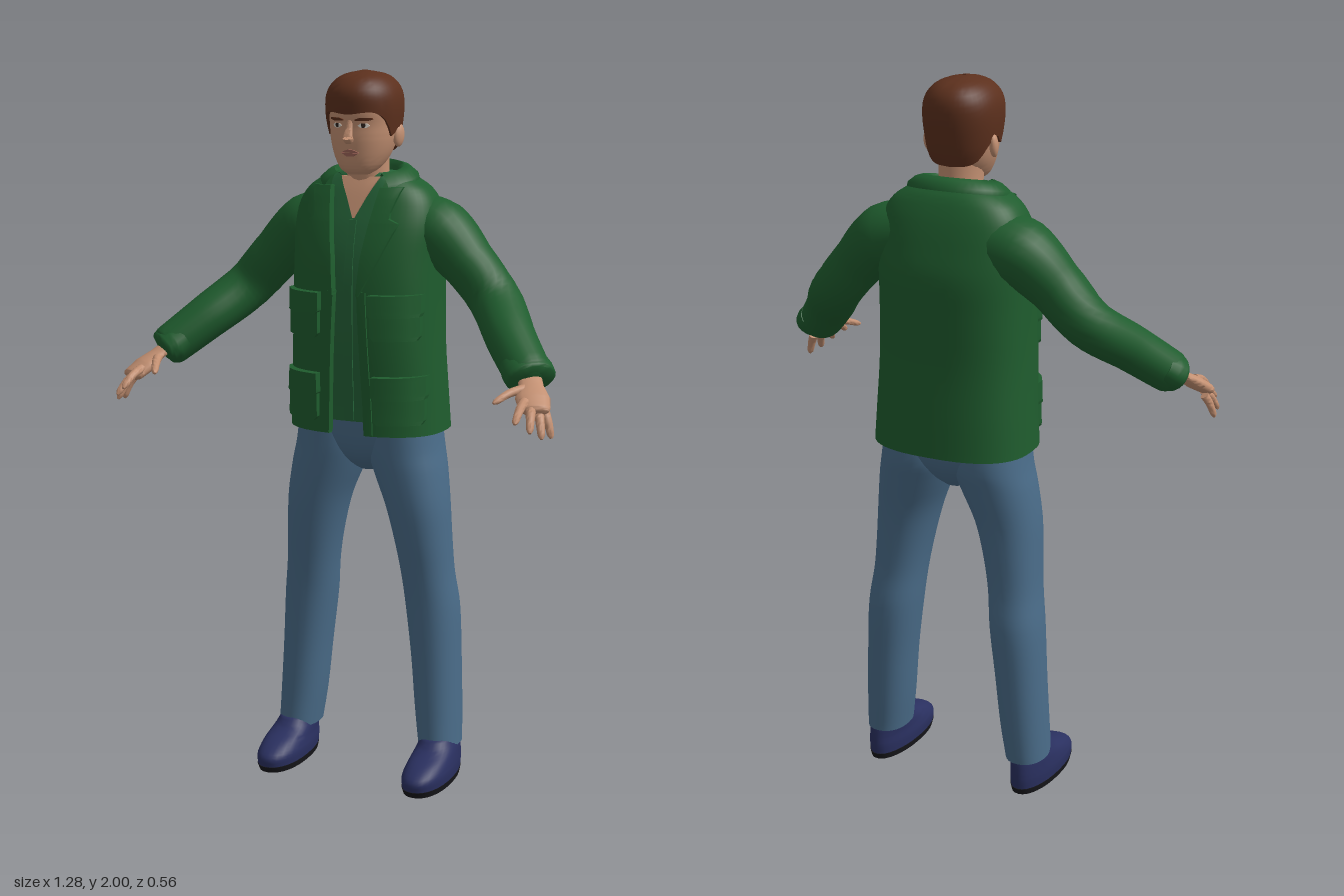
import * as THREE from 'three';
import { mergeVertices, toCreasedNormals } from 'three/addons/utils/BufferGeometryUtils.js';

const mat = (name, color, side = THREE.FrontSide) => {
  const m = new THREE.MeshStandardMaterial({ color, side });
  m.name = name;
  return m;
};
const M = {
  jacket: mat('jacket green', 0x1f5c2e, THREE.DoubleSide), shirt: mat('shirt green', 0x256238),
  jeans: mat('denim blue', 0x4a6c89), shoe: mat('shoe navy', 0x2a3060), sole: mat('sole black', 0x17171b),
  skin: mat('skin', 0xc39072), hair: mat('hair brown', 0x5c301d, THREE.DoubleSide),
  lip: mat('lip', 0xa0665a), white: mat('eye white', 0xd8d2c8), iris: mat('iris dark', 0x2b211c),
};

function add(parent, name, geo, material) {
  const mesh = new THREE.Mesh(geo, material);
  mesh.name = name;
  parent.add(mesh);
  return mesh;
}

// Smooth interpolation of table rows keyed by their first column
function at(rows, k) {
  const last = rows.length - 1;
  k = Math.min(Math.max(k, rows[0][0]), rows[last][0]);
  let i = 0;
  while (i < last - 1 && k > rows[i + 1][0]) i++;
  const a = rows[i], b = rows[i + 1], p = rows[Math.max(i - 1, 0)], q = rows[Math.min(i + 2, last)];
  const h = b[0] - a[0], t = (k - a[0]) / h, t2 = t * t, t3 = t2 * t;
  return a.map((_, c) => c === 0 ? k :
    (2 * t3 - 3 * t2 + 1) * a[c] + (3 * t2 - 2 * t3) * b[c] +
    (t3 - 2 * t2 + t) * h * (b[c] - p[c]) / (b[0] - p[0]) + (t3 - t2) * h * (q[c] - a[c]) / (q[0] - a[0]));
}

// Surface from a rule fn(u index, v index) -> [x, y, z]
function grid(nu, nv, fn, crease = 1) {
  const pos = [], idx = [];
  for (let j = 0; j <= nv; j++) for (let i = 0; i <= nu; i++) pos.push(...fn(i, j));
  for (let j = 0; j < nv; j++) for (let i = 0; i < nu; i++) {
    const a = j * (nu + 1) + i, b = a + 1, c = a + nu + 1, d = c + 1;
    idx.push(a, b, d, a, d, c);
  }
  const g = new THREE.BufferGeometry();
  g.setAttribute('position', new THREE.Float32BufferAttribute(pos, 3));
  g.setIndex(idx);
  return toCreasedNormals(mergeVertices(g, 1e-5), crease);
}

// Body sections: rows of [y, centre x, half width, front z, back z, front gap], with roundness e
const body = (e, rows) => ({ e, rows });
const pw = (v, k) => Math.sign(v) * Math.pow(Math.abs(v), k);

function point(S, y, th, scale = 1, egg = 0) {
  const [, cx, rx, zf, zb] = at(S.rows, y), k = 2 / S.e;
  return [cx + rx * scale * pw(Math.sin(th), k) * (1 + egg * Math.cos(th)), y,
    (zf + zb) / 2 + (zf - zb) / 2 * scale * pw(Math.cos(th), k)];
}

function loft(S, { n = 32, sub = 4, ends = [0, 0], egg = 0 } = {}) {
  const R = S.rows, nv = (R.length - 1) * sub;
  return grid(n, nv + 2, (i, j) => {
    const f = Math.min(Math.max(j - 1, 0), nv) / sub, k = Math.min(Math.floor(f), R.length - 2);
    const y = R[k][0] + (R[k + 1][0] - R[k][0]) * (f - k);
    const s = at(R, y), a0 = s[5] ? Math.asin(Math.pow(s[5] / s[2], S.e / 2)) : 0;
    const scale = j === 0 ? ends[0] : j === nv + 2 ? ends[1] : 1;
    return point(S, y, a0 + (2 * Math.PI - 2 * a0) * i / n, scale, egg);
  });
}

// Plate following the front of a body; rows of [y, x start, x end]
function panel(S, rows, thick, off = 0) {
  const n = rows.length - 1, g = new THREE.BoxGeometry(1, 1, 1, 6, n * 4, 1), p = g.attributes.position;
  for (let i = 0; i < p.count; i++) {
    const f = (p.getY(i) + 0.5) * n, k = Math.min(Math.floor(f + 1e-6), n - 1), t = f - k;
    const [y, xa, xb] = rows[k].map((v, c) => v + (rows[k + 1][c] - v) * t);
    const x = xa + (xb - xa) * (p.getX(i) + 0.5), [, cx, rx, zf, zb] = at(S.rows, y);
    const d = Math.min(Math.abs((x - cx) / rx), 0.995);
    const z = (zf + zb) / 2 + (zf - zb) / 2 * Math.pow(1 - Math.pow(d, S.e), 1 / S.e);
    p.setXYZ(i, x, y, z + off + (p.getZ(i) + 0.5) * thick);
  }
  g.computeVertexNormals();
  return g;
}

// Rounded limb through points of [x, y, z, radius]
function limb(pts, flat = 1, n = 14, sub = 6) {
  const curve = new THREE.CatmullRomCurve3(pts.map(p => new THREE.Vector3(p[0], p[1], p[2])));
  const m = pts.length - 1, nv = m * sub, up = new THREE.Vector3(0, 1, 0);
  return grid(n, nv + 2, (i, j) => {
    const v = Math.min(Math.max(j - 1, 0), nv) / nv, k = Math.min(Math.floor(v * m), m - 1);
    const r0 = pts[k][3] + (pts[k + 1][3] - pts[k][3]) * (v * m - k);
    const tip = Math.max(0, (v - 0.85) / 0.15);
    const r = j === 0 || j === nv + 2 ? 0 : r0 * Math.sqrt(1 - 0.8 * tip * tip);
    const T = curve.getTangent(v), side = T.clone().cross(up).normalize(), nor = side.clone().cross(T);
    const a = -2 * Math.PI * i / n;
    return curve.getPoint(v).addScaledVector(side, r * Math.cos(a)).addScaledVector(nor, r * flat * Math.sin(a)).toArray();
  });
}

const jacketBody = body(2.6, [
  [1.01, 0, .225, .05, -.282, .055], [1.1, 0, .22, .052, -.276, .052], [1.25, 0, .213, .06, -.266, .045],
  [1.4, 0, .21, .06, -.268, .037], [1.5, 0, .21, .05, -.268, .045], [1.58, 0, .212, .03, -.25, .058],
  [1.64, 0, .2, .008, -.232, .068], [1.68, 0, .175, -.008, -.215, .075], [1.705, 0, .14, -.02, -.2, .078],
  [1.725, 0, .1, -.03, -.18, .075]]);
const shirtBody = body(2.6, jacketBody.rows.map(([y, , rx, zf, zb]) =>
  [Math.max(y, 1.045), 0, rx - .022, zf - .018, zb + .022]));
const headBody = body(2.2, [
  [1.722, 0, .03, .0, -.06], [1.735, 0, .05, .014, -.09], [1.755, 0, .065, .022, -.12], [1.785, 0, .079, .027, -.145],
  [1.82, 0, .088, .03, -.16], [1.855, 0, .092, .03, -.172], [1.9, 0, .094, .036, -.178],
  [1.94, 0, .086, .022, -.172], [1.975, 0, .055, -.015, -.14]]);
const hairBody = body(2.15, [
  [1.77, 0, .076, .02, -.158], [1.8, 0, .091, .03, -.17], [1.85, 0, .099, .041, -.182], [1.9, 0, .103, .049, -.19],
  [1.94, 0, .098, .049, -.19], [1.97, 0, .08, .03, -.175], [1.99, 0, .05, -.005, -.14], [2, 0, .004, -.06, -.075]]);

function buildHead(root) {
  const head = new THREE.Group();
  head.name = 'head';
  root.add(head);
  add(head, 'neck', loft(body(2, [[1.58, 0, .07, -.04, -.16], [1.68, 0, .062, -.035, -.155],
    [1.74, 0, .06, -.025, -.15], [1.79, 0, .062, -.02, -.148]]), { n: 20 }), M.skin);
  add(head, 'face', loft(headBody), M.skin);
  add(head, 'nose', limb([[0, 1.87, .026, .008], [0, 1.845, .034, .01], [0, 1.822, .041, .015], [0, 1.812, .03, .013]], .8), M.skin);
  // Hair cap with a hairline that varies around the head
  const line = [[0, 1.885], [.7, 1.89], [1.1, 1.865], [1.32, 1.825], [1.6, 1.85], [1.9, 1.83], [2.3, 1.785], [3.15, 1.775]];
  add(head, 'hair', grid(48, 17, (i, j) => {
    const th = 2 * Math.PI * i / 48, low = at(line, Math.min(th, 2 * Math.PI - th))[1];
    const v = Math.sin(Math.max(j - 1, 0) / 16 * Math.PI / 2);
    return point(hairBody, low + (2 - low) * v, th, j === 0 ? .87 : 1);
  }), M.hair);
  add(head, 'upperLip', panel(headBody, [[1.783, -.025, .025], [1.787, -.018, .018], [1.791, -.006, .006]], .008, -.003), M.lip);
  add(head, 'lowerLip', panel(headBody, [[1.773, -.01, .01], [1.778, -.018, .018], [1.782, -.024, .024]], .009, -.003), M.lip);
  for (const s of [-1, 1]) {
    const across = rows => rows.map(([y, a, b]) => s > 0 ? [y, a, b] : [y, -b, -a]);
    add(head, 'eye', panel(headBody, across([[1.849, .034, .044], [1.855, .023, .054], [1.861, .031, .047]]), .005, -.002), M.white);
    add(head, 'iris', panel(headBody, across([[1.85, .035, .041], [1.855, .033, .044], [1.861, .034, .043]]), .005, -.001), M.iris);
    add(head, 'eyebrow', panel(headBody, across([[1.868, .018, .05], [1.872, .018, .062], [1.876, .03, .06]]), .008, -.002), M.hair);
    const ear = add(head, 'ear', new THREE.SphereGeometry(1, 14, 10), M.skin);
    ear.scale.set(.012, .032, .02);
    ear.position.set(s * .094, 1.826, -.085);
    ear.rotation.set(-.15, s * -.3, 0);
  }
}

function buildTorso(root) {
  add(root, 'jacket', loft(jacketBody, { n: 48, ends: [.9, .85] }), M.jacket);
  add(root, 'shirt', loft(shirtBody, { n: 40 }), M.shirt);
  add(root, 'shirtPlacket', panel(shirtBody, [[1.05, -.014, .014], [1.35, -.014, .014], [1.6, -.01, .01]], .006, -.002), M.shirt);
  add(root, 'openNeck', panel(shirtBody, [[1.605, -.002, .002], [1.66, -.028, .028], [1.715, -.058, .058]], .008, -.002), M.skin);
  // Folded collar, higher at the nape
  const ring = [[.143, .115, 1.7], [.14, .112, 1.712], [.118, .098, 1.73], [.098, .083, 1.737], [.082, .072, 1.725], [.076, .066, 1.69]];
  add(root, 'collar', grid(32, 5, (i, j) => {
    const [rx, rz, y] = ring[j], a = .72 + (2 * Math.PI - 1.44) * i / 32, z = rz * Math.cos(a);
    return [rx * Math.sin(a), y - z * .2, z - .1];
  }), M.jacket);
  add(root, 'hips', loft(body(2.3, [[.885, 0, .03, -.08, -.15], [.92, 0, .09, -.03, -.19], [.96, 0, .165, -.005, -.22],
    [1.01, 0, .2, .008, -.235], [1.06, 0, .195, .015, -.23]])), M.jeans);
}

// Everything that comes in a left and right pair, built on the left (+x)
function buildSide(root, side) {
  const g = new THREE.Group();
  g.name = side > 0 ? 'leftSide' : 'rightSide';
  g.scale.x = side;
  root.add(g);
  const edge = [1.012, 1.1, 1.25, 1.41].map(y => { const x = at(jacketBody.rows, y)[5]; return [y, x - .002, x + .022]; });
  add(g, 'frontEdge', panel(jacketBody, edge, .026, -.02), M.jacket);
  add(g, 'lapel', panel(jacketBody, [[1.4, .035, .042], [1.5, .043, .094], [1.595, .058, .137], [1.607, .06, .112],
    [1.625, .063, .112], [1.69, .074, .132]], .028, -.016), M.jacket);
  // Patch pockets with flaps
  for (const [name, y, h, xa, xb] of [['chestPocket', 1.28, .125, .078, .196], ['hipPocket', 1.045, .135, .085, .206]]) {
    add(g, name, panel(jacketBody, [[y, xa + .01, xb - .006], [y + .012, xa, xb], [y + h * .8, xa, xb]], .024, -.006), M.jacket);
    add(g, name + 'Flap', panel(jacketBody, [[y + h * .52, xa + .004, xb], [y + h * .6, xa - .004, xb + .003],
      [y + h, xa - .004, xb + .003]], .033, -.006), M.jacket);
  }
  add(g, 'sleeve', limb([[.11, 1.585, -.13, .095], [.2, 1.56, -.13, .1], [.29, 1.482, -.118, .08], [.375, 1.388, -.1, .074],
    [.46, 1.302, 0, .069], [.535, 1.23, .075, .064], [.555, 1.212, .095, .06]], .92, 22), M.jacket);
  add(g, 'cuff', limb([[.515, 1.25, .055, .068], [.535, 1.232, .075, .073], [.555, 1.214, .095, .07]], .72, 22), M.jacket);
  add(g, 'palm', limb([[.54, 1.228, .08, .032], [.56, 1.205, .118, .033], [.578, 1.18, .155, .046], [.594, 1.16, .185, .042],
    [.6, 1.152, .198, .036]], .42), M.skin);
  const fingers = [
    ['indexFinger', [.568, 1.177, .19], [.575, 1.135, .28]], ['middleFinger', [.586, 1.163, .188], [.608, 1.11, .257]],
    ['ringFinger', [.602, 1.152, .176], [.628, 1.09, .222]], ['littleFinger', [.612, 1.146, .155], [.637, 1.083, .172]],
    ['thumb', [.55, 1.2, .13], [.5, 1.175, .235]]];
  for (const [name, a, b] of fingers) {
    const mid = a.map((v, i) => (v + b[i]) / 2 + (i === 1 ? .007 : 0));
    add(g, name, limb([[...a, .014], [...mid, .012], [...b, .009]], .9, 10), M.skin);
  }
  // Trouser leg
  const leg = [[.095, .165, .28, -.03, -.192], [.2, .15, .277, -.036, -.2], [.35, .135, .271, -.04, -.207],
    [.5, .117, .264, -.037, -.21], [.6, .106, .252, -.028, -.196], [.7, .088, .246, -.014, -.194],
    [.8, .062, .24, -.002, -.2], [.9, .022, .227, .004, -.22], [.96, .004, .215, .006, -.232], [1.05, .004, .203, .008, -.23]];
  add(g, 'trouserLeg', loft(body(2.25, leg.map(([y, a, b, f, k]) => [y, (a + b) / 2, (b - a) / 2, f, k])), { n: 28 }), M.jeans);
  add(g, 'shoe', loft(body(2.2, [[.014, .228, .06, .112, -.193], [.045, .228, .062, .112, -.196], [.072, .228, .058, .07, -.194],
    [.098, .226, .053, .0, -.19], [.122, .224, .046, -.03, -.183]]), { egg: .1 }), M.shoe);
  add(g, 'sole', loft(body(2.2, [[0, .228, .058, .106, -.19], [.018, .228, .0615, .115, -.196]]), { sub: 1, egg: .1 }), M.sole);
}

export function createModel() {
  const root = new THREE.Group();
  root.name = 'manInJacket';
  // The shirt hem row is raised, which keeps it above the jacket hem
  buildHead(root);
  buildTorso(root);
  for (const side of [1, -1]) buildSide(root, side);
  return root;
}
